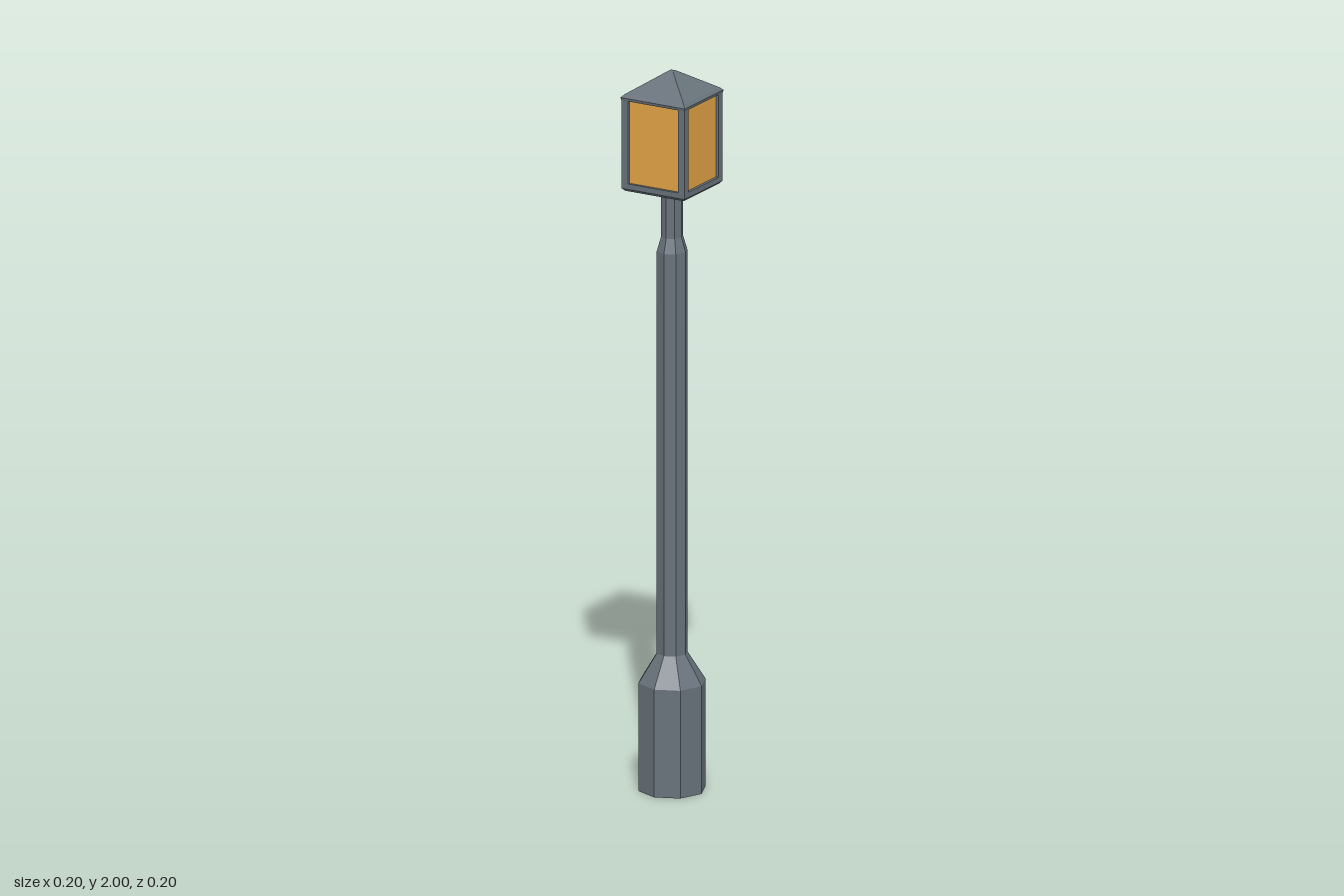
import * as THREE from 'three';

const metal = new THREE.MeshStandardMaterial({ color: 0x68727a, side: THREE.DoubleSide });
metal.name = 'grey metal';
const amber = new THREE.MeshStandardMaterial({ color: 0xe0a246 });
amber.name = 'amber glass';

// Faceted lathe from [radius, height] pairs
function faceted(points, sides, turn = 0) {
  const profile = points.map(([r, y]) => new THREE.Vector2(r, y));
  const geometry = new THREE.LatheGeometry(profile, sides, turn).toNonIndexed();
  geometry.computeVertexNormals();
  return geometry;
}

// Square section solid from [half width, height] pairs
function squareStack(points) {
  return faceted(points.map(([h, y]) => [h * Math.SQRT2, y]), 4, Math.PI / 4);
}

function add(parent, name, geometry, material, x = 0, y = 0, z = 0) {
  const mesh = new THREE.Mesh(geometry, material);
  mesh.name = name;
  mesh.position.set(x, y, z);
  parent.add(mesh);
  return mesh;
}

export function createModel() {
  const model = new THREE.Group();
  model.name = 'streetLamp';

  // Eight-sided post, open at the foot
  add(model, 'post', faceted([
    [0.092, 0], [0.092, 0.3], [0.042, 0.38], [0.042, 1.5], [0.03, 1.54], [0.03, 1.685],
  ], 8), metal);

  const lantern = new THREE.Group();
  lantern.name = 'lantern';
  model.add(lantern);

  // Floor with a bevelled lower edge, and the pyramid roof with a small flat tip
  add(lantern, 'lanternFloor', squareStack([
    [0, 1.675], [0.09, 1.675], [0.098, 1.683], [0.098, 1.698], [0, 1.698],
  ]), metal);
  add(lantern, 'roof', squareStack([
    [0, 1.928], [0.098, 1.928], [0.1, 1.936], [0.092, 1.944], [0.008, 2], [0, 2],
  ]), metal);

  // Corner posts
  for (const x of [-1, 1]) {
    for (const z of [-1, 1]) {
      add(lantern, 'cornerPost', new THREE.BoxGeometry(0.021, 0.235, 0.021), metal,
        x * 0.0875, 1.814, z * 0.0875);
    }
  }

  // One glass pane on each side, set back behind the frame
  for (let i = 0; i < 4; i++) {
    const a = i * Math.PI / 2;
    const pane = add(lantern, 'glassPane', new THREE.BoxGeometry(0.156, 0.232, 0.008), amber,
      Math.sin(a) * 0.086, 1.813, Math.cos(a) * 0.086);
    pane.rotation.y = a;
  }
  return model;
}
